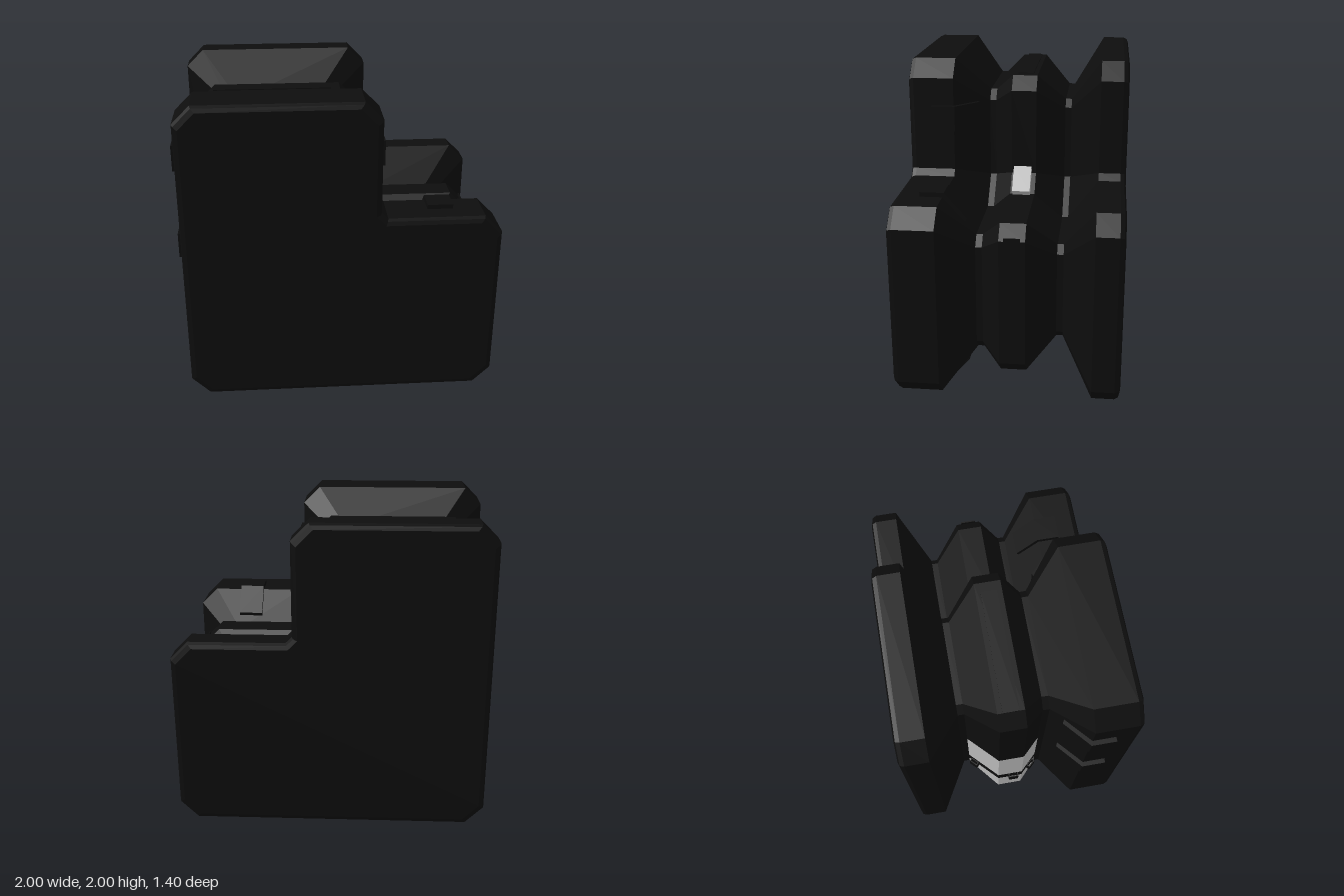
import * as THREE from 'three';

const black = new THREE.MeshStandardMaterial({ color: 0x0d0d0d, flatShading: true });
black.name = 'black';
const grey = new THREE.MeshStandardMaterial({ color: 0xbcbcbc, flatShading: true });
grey.name = 'light grey';

// Stepped outline with cut corners, counter-clockwise, shrunk by d
function outline(d) {
  const c = 0.11 - 0.2 * d, n = 0.04 + 0.586 * d;
  const l = -0.97 + d, r = 1 - d, b = 0.03 + d, t = 2 - d, sx = 0.25 - d, sy = 1.255 - d;
  return [
    [l, b + c], [l + c, b], [r - c, b], [r, b + c],
    [r, sy - c], [r - c, sy], [sx + n, sy], [sx, sy + n],
    [sx, t - c], [sx - c, t], [l + c, t], [l, t - c],
  ];
}

// Skin between rings listed from front to back; profile rows are [z, inset]
function loft(path, profile, closed) {
  const rings = profile.map(([z, d]) => path(d).map(([x, y]) => [x, y, z]));
  const pos = [], n = rings[0].length;
  const tri = (...p) => p.forEach((v) => pos.push(...v));
  for (let i = 0; i < rings.length - 1; i++) {
    for (let j = 0; j < (closed ? n : n - 1); j++) {
      const k = (j + 1) % n;
      const a = rings[i][j], b = rings[i][k], c = rings[i + 1][k], e = rings[i + 1][j];
      tri(a, e, b);
      tri(b, e, c);
    }
  }
  if (closed) {
    const first = rings[0], last = rings[rings.length - 1];
    const flat = first.map(([x, y]) => new THREE.Vector2(x, y));
    for (const [a, b, c] of THREE.ShapeUtils.triangulateShape(flat, [])) {
      tri(first[a], first[b], first[c]);
      tri(last[a], last[c], last[b]);
    }
  }
  const g = new THREE.BufferGeometry();
  g.setAttribute('position', new THREE.Float32BufferAttribute(pos, 3));
  g.computeVertexNormals();
  return g;
}

// Extrude a [z, outward] section along the edge, centred on (x, y)
function edgePart(points, length, x, y, out, hole) {
  const shape = new THREE.Shape(points.map((p) => new THREE.Vector2(...p)));
  if (hole) shape.holes.push(new THREE.Path(hole.map((p) => new THREE.Vector2(...p))));
  const g = new THREE.ExtrudeGeometry(shape, { depth: length, bevelEnabled: false });
  g.translate(0, 0, -length / 2);
  const zAxis = new THREE.Vector3(0, 0, 1), up = new THREE.Vector3(out[0], out[1], 0);
  const m = new THREE.Matrix4().makeBasis(zAxis, up, zAxis.clone().cross(up));
  return g.applyMatrix4(m.setPosition(x, y, 0));
}

// Tilted rectangle in section space
function rect(cz, co, w, h, tilt = 0) {
  const s = Math.sin(tilt), c = Math.cos(tilt);
  return [[-w, -h], [w, -h], [w, h], [-w, h]].map(([a, b]) =>
    [cz + (a * c - b * s) / 2, co + (a * s + b * c) / 2]);
}

export function createModel() {
  const model = new THREE.Group();
  model.name = 'steppedBlock';
  const add = (name, geometry, material = black) => {
    const mesh = new THREE.Mesh(geometry, material);
    mesh.name = name;
    model.add(mesh);
    return mesh;
  };

  // Front slab, core and back slab in one grooved body
  add('body', loft(outline, [
    [0.70, 0.035], [0.69, 0.01], [0.665, 0],
    [0.41, 0], [0.205, 0.23], [0.165, 0.23],
    [0.05, 0.12], [-0.11, 0.12], [-0.29, 0.30], [-0.33, 0.30],
    [-0.525, 0], [-0.665, 0], [-0.69, 0.01], [-0.70, 0.035],
  ], true));

  // Light panels wrapping the core at the lower corner
  const coreSkin = [[0.165, 0.224], [0.052, 0.114], [-0.112, 0.114], [-0.29, 0.294]];
  const sidePath = (d) => [[-0.97 + d, 1.06], [-0.97 + d, 0.58]];
  const cornerPath = (d) => [[-0.97 + d, 0.48], ...outline(d).slice(0, 2), [-0.51, 0.03 + d]];
  const bottomPath = (d) => [[-0.41, 0.03 + d], [0.02, 0.03 + d]];
  add('sidePanel', loft(sidePath, coreSkin, false), grey);
  add('cornerPanel', loft(cornerPath, coreSkin, false), grey);
  add('bottomPanel', loft(bottomPath, coreSkin, false), grey);

  // Hollow clips in the panel gaps
  const clips = [
    [-0.008, -0.108, 0.066, 0.04, 0],
    [0.125, -0.165, 0.06, 0.026, -0.75],
    [-0.262, -0.24, 0.06, 0.026, 0.79],
  ];
  for (const [x, y, out] of [[-0.46, 0.03, [0, -1]], [-0.97, 0.53, [-1, 0]]]) {
    for (const [z, o, w, h, tilt] of clips) {
      add('clip', edgePart(rect(z, o, w, h, tilt), 0.09, x, y, out,
        rect(z, o, w - 0.012, h - 0.012, tilt)));
    }
  }

  // Raised pads folded over the front slab's edge and slope
  const pad = [[0.55, -0.02], [0.55, 0.028], [0.4, 0.028], [0.262, -0.13], [0.28, -0.165], [0.415, -0.02]];
  const padSpots = [
    [-0.97, 1.635, [-1, 0]], [-0.97, 1.055, [-1, 0]], [0.25, 1.635, [1, 0]],
    [0.63, 1.255, [0, 1]], [0.05, 0.03, [0, -1]], [0.63, 0.03, [0, -1]],
  ];
  for (const [x, y, out] of padSpots) {
    add('pad', edgePart([...pad].reverse(), 0.16, x, y, out));
  }

  // Shallow inlays on the top and far side of the core
  const inlay = rect(-0.03, -0.119, 0.1, 0.009);
  add('topInlay', edgePart(inlay, 0.75, -0.39, 2, [0, 1]));
  add('sideInlay', edgePart(inlay, 0.8, 1, 0.67, [1, 0]));

  // Tilted light plate in the inner corner of the step
  const plate = add('stepPlate', new THREE.BoxGeometry(0.185, 0.05, 0.115), grey);
  plate.position.set(0.213, 1.218, -0.025);
  plate.rotation.z = -Math.PI / 4;

  return model;
}
